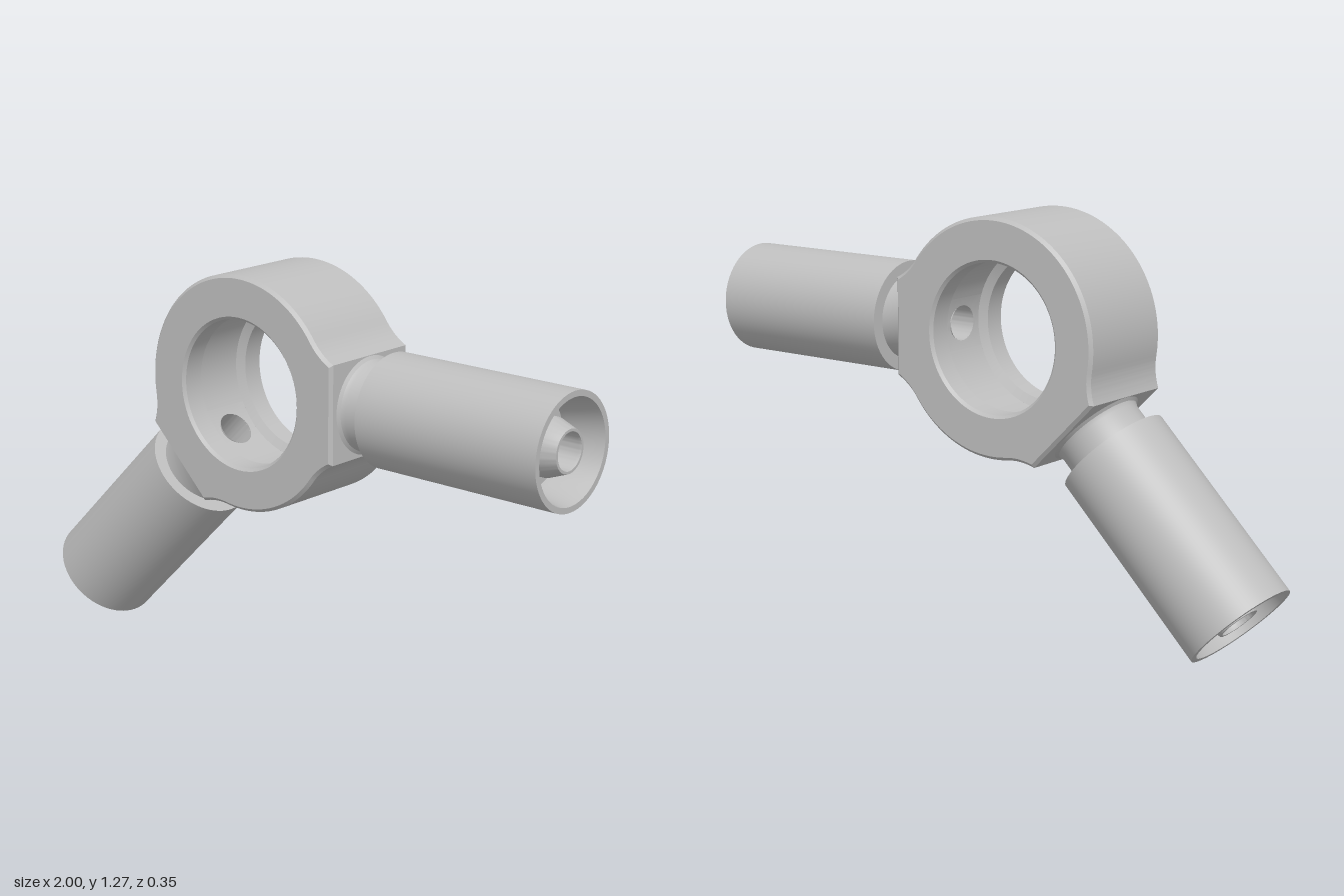
import * as THREE from 'three';
import { toCreasedNormals } from 'three/addons/utils/BufferGeometryUtils.js';
import { ParametricGeometry } from 'three/addons/geometries/ParametricGeometry.js';

const R = 0.365;          // ring outer radius
const FLAT = 0.37;        // distance of the arm flats from the ring axis
const HALF = 0.152;       // half width of a flat
const DEPTH = 0.175;      // half depth of the ring
const BEVEL = 0.01;
const GROOVE = 0.255;     // radius of the groove inside the bore
const GROOVE_Z = 0.085;
const PORT = 0.055;       // radius of the cross drillings
const PATCH = 0.32;       // half angle of the groove patch around a port
const ARMS = [0, Math.PI * 1.25];

export function createModel() {
  const steel = new THREE.MeshStandardMaterial({ color: 0xbebebe, side: THREE.DoubleSide });
  steel.name = 'steel grey';
  const model = new THREE.Group();
  model.name = 'twinArmRingFitting';

  const add = (parent, name, geometry) => {
    const mesh = new THREE.Mesh(toCreasedNormals(geometry, 0.4), steel);
    mesh.name = name;
    parent.add(mesh);
    return mesh;
  };
  const lathe = (points, segments = 64) =>
    new THREE.LatheGeometry(points.map(p => new THREE.Vector2(...p)), segments);

  const ring = new THREE.Group();
  ring.name = 'ring';
  model.add(ring);

  // Ring outline: circle with a filleted flat for each arm
  const at = (a, x, y) => [x * Math.cos(a) - y * Math.sin(a), x * Math.sin(a) + y * Math.cos(a)];
  const blend = 0.63;
  const bx = R * Math.cos(blend), by = R * Math.sin(blend);
  const cx = bx + 0.05 * Math.sin(blend), cy = by - 0.05 * Math.cos(blend);
  const path = new THREE.Shape();
  path.moveTo(...at(ARMS[0], FLAT, -HALF));
  ARMS.forEach((a, i) => {
    const next = i ? Math.PI * 2 : ARMS[1];
    path.lineTo(...at(a, FLAT, HALF));
    path.quadraticCurveTo(...at(a, cx, cy), ...at(a, bx, by));
    path.absarc(0, 0, R, a + blend, next - blend, false);
    path.quadraticCurveTo(...at(next, cx, -cy), ...at(next, FLAT, -HALF));
  });
  const outline = path.getPoints(24).filter((p, i, all) => i === 0 || p.distanceTo(all[i - 1]) > 1e-5);
  if (outline[0].distanceTo(outline[outline.length - 1]) < 1e-5) outline.pop();
  const count = outline.length;

  // Outline moved inwards for the bevelled rim
  const normal = (p, q) => new THREE.Vector2(q.y - p.y, p.x - q.x).normalize();
  const inset = outline.map((p, i) => {
    const n1 = normal(outline[(i + count - 1) % count], p);
    const n2 = normal(p, outline[(i + 1) % count]);
    const miter = n1.clone().add(n2).divideScalar(1 + n1.dot(n2));
    return p.clone().addScaledVector(miter, -BEVEL);
  });

  // Outer wall with bevels; the flats are left open for their drilled plates
  const rows = [[inset, -DEPTH], [outline, BEVEL - DEPTH], [outline, DEPTH - BEVEL], [inset, DEPTH]];
  const positions = [];
  for (let r = 0; r < 3; r++) {
    for (let i = 0; i < count; i++) {
      const j = (i + 1) % count;
      if (r === 1 && outline[i].distanceTo(outline[j]) > 0.2) continue;
      const corner = (row, k) => [rows[row][0][k].x, rows[row][0][k].y, rows[row][1]];
      const [a, b, c, d] = [corner(r, i), corner(r, j), corner(r + 1, j), corner(r + 1, i)];
      positions.push(...a, ...b, ...c, ...a, ...c, ...d);
    }
  }
  const wall = new THREE.BufferGeometry();
  wall.setAttribute('position', new THREE.Float32BufferAttribute(positions, 3));
  add(ring, 'ringOuterWall', wall);

  // Front and back faces
  const face = (points) => {
    const shape = new THREE.Shape(points);
    shape.holes.push(new THREE.Path().absarc(0, 0, 0.238, 0, Math.PI * 2, true));
    return new THREE.ShapeGeometry(shape, 48);
  };
  add(ring, 'ringFrontFace', face(inset).translate(0, 0, DEPTH));
  const mirrored = inset.map(p => new THREE.Vector2(-p.x, p.y)).reverse();
  add(ring, 'ringBackFace', face(mirrored).rotateY(Math.PI).translate(0, 0, -DEPTH));

  // Bore lips either side of the groove
  const lip = [[0.238, DEPTH], [0.229, 0.166], [0.229, 0.1], [GROOVE, GROOVE_Z]];
  add(ring, 'frontBoreLip', lathe(lip, 96).rotateX(Math.PI / 2));
  add(ring, 'backBoreLip', lathe(lip.map(([r, z]) => [r, -z]).reverse(), 96).rotateX(Math.PI / 2));

  // Groove wall between the ports
  const onGroove = (target, angle, z) =>
    target.set(GROOVE * Math.cos(angle), GROOVE * Math.sin(angle), z);
  ARMS.forEach((a, i) => {
    const from = a + PATCH, to = (i ? Math.PI * 2 : ARMS[1]) - PATCH;
    add(ring, 'grooveWall', new ParametricGeometry((u, v, target) =>
      onGroove(target, to + (from - to) * u, GROOVE_Z * (2 * v - 1)), 48, 1));
  });

  // Arms: drilled flat, port, and a hollow sleeve with a tapered nozzle inside
  const armProfile = [
    [0.15, FLAT], [0.14, 0.377], [0.135, 0.39], [0.135, 0.46], [0.175, 0.46], [0.175, 1.1],
    [0.157, 1.1], [0.134, 0.99], [0.134, 0.97], [0.087, 0.97], [0.087, 1.03], [0.065, 1.09],
    [0.057, 1.09], [PORT, 1.08], [PORT, 0.25],
  ];
  ARMS.forEach((a, i) => {
    const arm = new THREE.Group();
    arm.name = i ? 'rightLowerArm' : 'leftArm';
    arm.rotation.z = a;
    model.add(arm);
    add(arm, 'sleeveAndNozzle', lathe(armProfile).rotateZ(-Math.PI / 2));

    const w = DEPTH - BEVEL;
    const plate = new THREE.Shape([[-w, -HALF], [w, -HALF], [w, HALF], [-w, HALF]]
      .map(p => new THREE.Vector2(...p)));
    plate.holes.push(new THREE.Path().absarc(0, 0, PORT, 0, Math.PI * 2, true));
    add(arm, 'armFlat', new THREE.ShapeGeometry(plate, 24).rotateY(Math.PI / 2).translate(FLAT, 0, 0));

    // Groove patch running from the round port out to a rectangle
    add(arm, 'portSurround', new ParametricGeometry((u, v, target) => {
      const c = Math.cos(u * Math.PI * 2), s = Math.sin(u * Math.PI * 2);
      const m = Math.max(Math.abs(c), Math.abs(s));
      const x = THREE.MathUtils.lerp(PORT * c / GROOVE, PATCH * c / m, v);
      const z = THREE.MathUtils.lerp(PORT * s, GROOVE_Z * s / m, v);
      onGroove(target, x, z);
    }, 40, 4));
  });

  model.position.set(-0.1, 0.902, 0);
  const root = new THREE.Group();
  root.name = 'ringFitting';
  root.add(model);
  return root;
}
